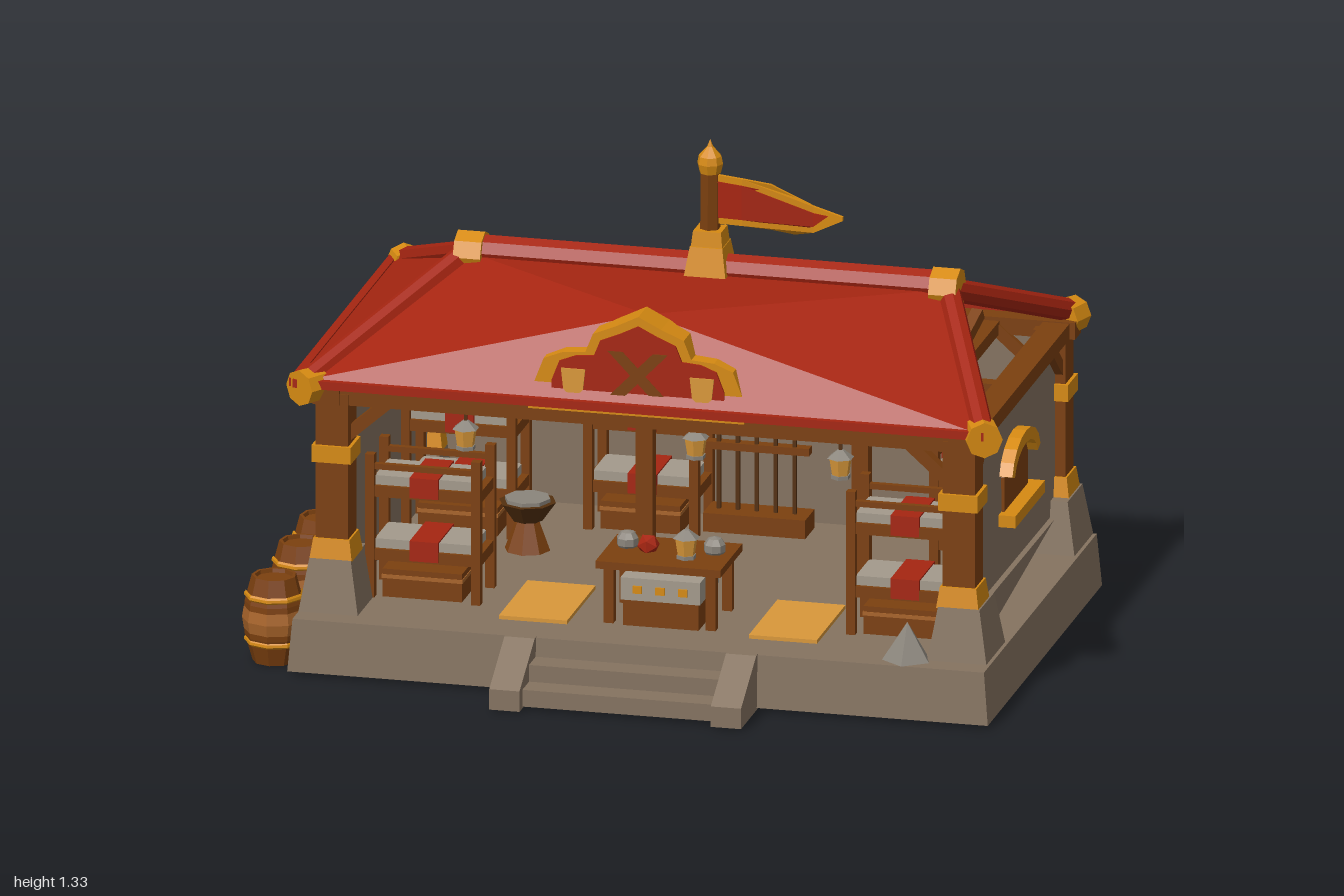
import * as THREE from 'three';

const M = {};
for (const [name, hex] of Object.entries({
  red: 0xa62511, gold: 0xd68a12, wood: 0x7c400f, darkWood: 0x54300f, stone: 0x857360,
  steel: 0x8b857c, linen: 0xa39a8c, tan: 0xd9983a, barrelWood: 0xa8642a,
})) { M[name] = new THREE.MeshStandardMaterial({ color: hex }); M[name].name = name; }
M.red.side = THREE.FrontSide;
const V = (x, y, z) => new THREE.Vector3(x, y, z);

export function createModel() {
  const root = new THREE.Group();
  root.name = 'guardhouse';

  // Flat-shaded mesh helper
  function add(name, geo, mat, x = 0, y = 0, z = 0, parent = root) {
    const g = geo.index ? geo.toNonIndexed() : geo;
    g.computeVertexNormals();
    const m = new THREE.Mesh(g, mat);
    m.name = name;
    m.position.set(x, y, z);
    parent.add(m);
    return m;
  }
  // Box from minimum to maximum corner
  const span = (name, mat, x0, x1, y0, y1, z0, z1, parent) =>
    add(name, new THREE.BoxGeometry(x1 - x0, y1 - y0, z1 - z0), mat, (x0 + x1) / 2, (y0 + y1) / 2, (z0 + z1) / 2, parent);
  // Box whose top is inset by tx and tz
  function taper(name, mat, x0, x1, y0, y1, z0, z1, tx, tz) {
    const m = span(name, mat, x0, x1, y0, y1, z0, z1), p = m.geometry.attributes.position;
    for (let i = 0; i < p.count; i++) if (p.getY(i) > 0) {
      p.setX(i, p.getX(i) - Math.sign(p.getX(i)) * tx);
      p.setZ(i, p.getZ(i) - Math.sign(p.getZ(i)) * tz);
    }
    m.geometry.computeVertexNormals();
    return m;
  }
  // Square or round beam between two points
  function beam(name, mat, a, b, w, sides = 0) {
    const len = a.distanceTo(b);
    const g = sides ? new THREE.CylinderGeometry(w / 2, w / 2, len, sides).rotateX(Math.PI / 2) : new THREE.BoxGeometry(w, w, len);
    const m = add(name, g, mat);
    m.position.copy(a).add(b).multiplyScalar(0.5);
    m.lookAt(b);
    return m;
  }
  function shapeOf(pts) { return new THREE.Shape(pts.map(p => new THREE.Vector2(p[0], p[1]))); }
  const slab = (pts, depth) => new THREE.ExtrudeGeometry(shapeOf(pts), { depth, bevelEnabled: false });

  // Stone base, steps and step cheeks
  taper('base', M.stone, -0.855, 0.995, 0.01, 0.15, -0.685, 0.515, 0.012, 0.008);
  span('lowerStep', M.stone, -0.21, 0.31, 0.01, 0.055, 0.5, 0.65);
  span('upperStep', M.stone, -0.21, 0.31, 0.01, 0.1, 0.5, 0.58);
  for (const x of [-0.28, 0.305]) {
    const c = add('stepCheek', slab([[-0.5, 0.005], [-0.5, 0.152], [-0.52, 0.152], [-0.68, 0.06], [-0.68, 0.005]], 0.08), M.stone, x, 0, 0);
    c.rotation.y = Math.PI / 2;
    c.position.x = x;
  }

  // Walls and sloping footings
  span('backWall', M.stone, -0.78, 0.88, 0.15, 0.71, -0.63, -0.59);
  const foot = add('backFooting', slab([[0.59, 0.15], [0.67, 0.15], [0.655, 0.21], [0.63, 0.25], [0.59, 0.25]], 1.68), M.stone, -0.79, 0, 0);
  foot.rotation.y = Math.PI / 2;
  span('rightWall', M.stone, -0.79, -0.75, 0.15, 0.71, -0.6, 0.37);
  span('rightFooting', M.stone, -0.815, -0.77, 0.15, 0.24, -0.55, 0.35);
  span('leftWall', M.stone, 0.865, 0.905, 0.245, 0.71, -0.6, 0.37);
  const tri = add('leftFooting', slab([[-0.27, 0.15], [0.48, 0.245], [-0.27, 0.25]], 0.04), M.stone, 0.88, 0, 0);
  tri.rotation.y = Math.PI / 2;

  // Arched side windows
  for (const s of [1, -1]) {
    const win = new THREE.Group();
    win.name = 'window';
    root.add(win);
    win.position.set(s > 0 ? 0.905 : -0.79, 0, -0.11);
    win.rotation.y = s * Math.PI / 2;
    const arc = (r, h, y) => Array.from({ length: 9 }, (_, i) => {
      const t = Math.PI * (0.06 + 0.88 * i / 8);
      return [r * Math.cos(t), y + h * Math.sin(t)];
    });
    add('windowPanel', slab([[0.125, 0.41], ...arc(0.128, 0.08, 0.5), [-0.125, 0.41]], 0.008), M.wood, 0, 0, 0, win);
    add('windowArch', slab([...arc(0.15, 0.1, 0.505), ...arc(0.122, 0.072, 0.5).reverse()], 0.035), M.gold, 0, 0, 0, win);
    span('windowSill', M.gold, -0.155, 0.155, 0.39, 0.422, 0, 0.045, win);
  }

  // Corner plinths, posts, bands and braces
  for (const sx of [-1, 1]) for (const sz of [-1, 1]) {
    const x = sx < 0 ? -0.765 : 0.89, z = sz < 0 ? -0.59 : 0.36;
    const px = sx < 0 ? -0.765 : 0.895, pz = sz < 0 ? -0.58 : 0.345;
    taper('cornerPlinth', M.stone, px - 0.08, px + 0.08, 0.14, 0.288, pz - 0.1, pz + 0.1, 0.025, 0.022);
    taper('postFoot', M.gold, x - 0.056, x + 0.056, 0.285, 0.34, z - 0.058, z + 0.058, 0.008, 0.008);
    span('cornerPost', M.wood, x - 0.043, x + 0.043, 0.33, 0.73, z - 0.043, z + 0.043);
    span('postBand', M.gold, x - 0.052, x + 0.052, 0.545, 0.59, z - 0.052, z + 0.052);
    beam('brace', M.wood, V(x - sx * 0.02, 0.6, z), V(x - sx * 0.15, 0.715, z), 0.032);
    beam('brace', M.wood, V(x + sx * 0.02, 0.6, z), V(x + sx * 0.02, 0.715, z - sz * 0.14), 0.032);
  }
  // Beams under the eaves
  for (const z of [0.37, -0.61]) span('eaveBeam', M.wood, -0.82, 0.95, 0.7, 0.745, z - 0.03, z + 0.03);
  for (const x of [-0.78, 0.9]) span('sideBeam', M.wood, x - 0.035, x + 0.035, 0.7, 0.742, -0.63, 0.41);
  // Inner posts with braces and ties
  for (const x of [-0.06, 0.51]) {
    span('innerPost', M.wood, x - 0.022, x + 0.022, 0.15, 0.95, -0.11, -0.07);
    span('tieBeam', M.wood, x - 0.02, x + 0.02, 0.7, 0.735, -0.6, 0.37);
    for (const s of [-1, 1]) beam('innerBrace', M.wood, V(x, 0.62, -0.09), V(x + s * 0.1, 0.72, -0.09), 0.024);
  }
  span('longTie', M.wood, -0.78, 0.88, 0.705, 0.735, -0.11, -0.07);
  // Open gable truss
  span('kingPost', M.wood, 0.71, 0.75, 0.72, 0.95, -0.11, -0.07);
  span('gableTie', M.wood, 0.71, 0.75, 0.7, 0.735, -0.6, 0.37);
  for (const s of [-1, 1]) beam('gableStrut', M.wood, V(0.73, 0.75, -0.09 + s * 0.06), V(0.76, 0.84, -0.09 + s * 0.23), 0.03);

  // Roof: hip with a raised front point, its left end open
  const R1 = V(-0.53, 0.975, -0.09), R2 = V(0.74, 0.975, -0.09), P = V(0.04, 0.975, 0.3);
  const FL = V(-0.865, 0.755, 0.41), FR = V(0.96, 0.755, 0.41), BL = V(-0.865, 0.755, -0.645), BR = V(0.94, 0.755, -0.645);
  const faces = [[FL, P, R1], [R1, P, R2], [P, FR, R2], [FL, FR, P], [BR, BL, R1], [BR, R1, R2], [BL, FL, R1]];
  const sheet = flip => new THREE.BufferGeometry().setFromPoints(faces.flatMap(f => flip ? [f[0], f[2], f[1]] : f));
  add('roof', sheet(false), M.red);
  add('roofUnderside', sheet(true), M.darkWood);
  for (const [a, b] of [[FL, FR], [BL, BR], [FL, BL]]) beam('eaveEdge', M.red, a, b, 0.022);
  beam('ridgeBeam', M.red, V(-0.53, 0.985, -0.09), V(0.74, 0.985, -0.09), 0.08, 8);
  const knobs = [[-0.83, 0.4, R1], [0.95, 0.39, R2], [-0.83, -0.64, R1], [0.92, -0.64, R2]];
  for (const [x, z, r] of knobs) {
    const c = V(x, 0.745, z), dir = V(x - r.x, 0, z - r.z).normalize();
    beam('hipBeam', M.red, c.clone().setY(0.76), r, 0.06, 8);
    beam('hipKnob', M.gold, c.clone().addScaledVector(dir, -0.035), c.clone().addScaledVector(dir, 0.03), 0.095, 8);
  }
  for (const x of [-0.52, 0.735]) beam('ridgeCap', M.gold, V(x - 0.036, 0.975, -0.09), V(x + 0.036, 0.975, -0.09), 0.115, 8);

  // Front sign board
  const half = [[0.275, 0.735], [0.275, 0.8], [0.25, 0.865], [0.2, 0.885], [0.14, 0.89], [0.12, 0.94], [0.06, 0.965]];
  const outline = k => {
    const r = half.map(([x, y]) => [x * k, 0.85 + (y - 0.85) * k]);
    return [...r, [0, 0.85 + 0.145 * k], ...r.slice().reverse().map(([x, y]) => [-x, y])];
  };
  add('signBoard', slab(outline(1), 0.09), M.gold, 0.04, 0, 0.297);
  add('signPanel', slab(outline(0.83), 0.006), M.red, 0.04, 0, 0.387);
  for (const s of [-1, 1]) {
    add('signPatch', slab([[-0.032, 0.845], [-0.026, 0.79], [0, 0.765], [0.026, 0.79], [0.032, 0.845]], 0.004), M.tan, 0.04 + s * 0.17, 0, 0.393);
    add('signStripe', slab([[-0.09, 0.765], [-0.05, 0.765], [0.08, 0.9], [0.04, 0.9]].map(([x, y]) => [x * s, y]), 0.004), M.wood, 0.04, 0, 0.391 + s * 0.001);
  }
  span('signLedge', M.gold, -0.245, 0.325, 0.735, 0.757, 0.33, 0.41);

  // Flag pole, finial and pennant
  taper('poleBlock', M.gold, 0.055, 0.165, 0.975, 1.05, -0.15, -0.03, 0.012, 0.015);
  taper('poleCollar', M.gold, 0.068, 0.152, 1.045, 1.09, -0.13, -0.05, 0.005, 0.005);
  add('flagPole', new THREE.CylinderGeometry(0.025, 0.027, 0.2, 6), M.wood, 0.11, 1.17, -0.09);
  add('finial', new THREE.LatheGeometry([[0, 1.33], [0.008, 1.31], [0.03, 1.285], [0.034, 1.265], [0.028, 1.24], [0, 1.235]].reverse().map(p => new THREE.Vector2(...p)), 8), M.gold, 0.11, 0, -0.09);
  const rows = [[0.13, 1.105, 1.235], [0.2, 1.11, 1.235], [0.27, 1.1, 1.22], [0.33, 1.085, 1.185], [0.38, 1.095, 1.165], [0.465, 1.143, 1.153]];
  const wave = x => -0.09 + 0.02 * Math.sin((x - 0.13) * 22);
  function pennant(name, mat, inset, depth) {
    const pts = rows.map(([x, a, b], i) => [x - (i === rows.length - 1 ? inset * 2.5 : 0), Math.min(a + inset, (a + b) / 2), Math.max(b - inset, (a + b) / 2)]);
    const g = slab([...pts.map(p => [p[0], p[1]]), ...pts.slice().reverse().map(p => [p[0], p[2] + 0.0005])], depth);
    const q = g.attributes.position;
    for (let i = 0; i < q.count; i++) q.setZ(i, q.getZ(i) - depth / 2 + wave(q.getX(i)));
    add(name, g, mat);
  }
  pennant('flagBorder', M.gold, 0, 0.01);
  pennant('flagCloth', M.red, 0.017, 0.017);

  // Barrels
  for (const z of [-0.105, 0.11, 0.4]) {
    const b = new THREE.Group();
    b.name = 'barrel';
    b.position.set(-0.918, 0, z);
    root.add(b);
    const ring = (name, mat, pts) => add(name, new THREE.LatheGeometry(pts.map(p => new THREE.Vector2(...p)), 9), mat, 0, 0, 0, b);
    ring('staves', M.wood, [[0, 0], [0.056, 0], [0.076, 0.07], [0.08, 0.115], [0.076, 0.16], [0.058, 0.23], [0.05, 0.23], [0.048, 0.22], [0, 0.22]]);
    ring('barrelMiddle', M.barrelWood, [[0.078, 0.085], [0.083, 0.115], [0.078, 0.145]]);
    for (const y of [0.05, 0.17]) ring('hoop', M.gold, [[0.073, y], [0.078, y + 0.005], [0.077, y + 0.012], [0.073, y + 0.017]]);
  }

  // Bunk beds
  for (const [x, z, turn] of [[-0.555, 0.2, 0], [-0.6, -0.35, 0], [-0.15, -0.48, 0], [0.715, 0.2, 0], [0.76, -0.3, Math.PI / 2]]) {
    const b = new THREE.Group();
    b.name = 'bunkBed';
    b.position.set(x, 0.15, z);
    b.rotation.y = turn;
    root.add(b);
    for (const sx of [-0.14, 0.14]) for (const sz of [-0.075, 0.075]) span('bedPost', M.wood, sx - 0.012, sx + 0.012, 0, 0.385, sz - 0.012, sz + 0.012, b);
    for (const y of [0.1, 0.27]) {
      span('bedFrame', M.wood, -0.15, 0.15, y, y + 0.03, -0.08, 0.08, b);
      span('mattress', M.linen, -0.13, 0.13, y + 0.03, y + 0.055, -0.07, 0.07, b);
      span('blanket', M.red, -0.035, 0.04, y + 0.005, y + 0.059, -0.084, 0.084, b);
    }
    for (const sz of [-0.075, 0.075]) span('bedRail', M.wood, -0.14, 0.14, 0.345, 0.36, sz - 0.008, sz + 0.008, b);
    span('bedChest', M.wood, -0.11, 0.1, 0, 0.075, -0.06, 0.07, b);
    span('chestBand', M.barrelWood, -0.112, 0.102, 0.05, 0.06, -0.062, 0.072, b);
  }

  // Table with cloth, lamp and goods
  span('tableTop', M.wood, -0.08, 0.25, 0.3, 0.32, 0.13, 0.36);
  for (const x of [-0.05, 0.22]) for (const z of [0.16, 0.33]) span('tableLeg', M.wood, x - 0.013, x + 0.013, 0.15, 0.3, z - 0.013, z + 0.013);
  span('tableChest', M.wood, -0.01, 0.19, 0.15, 0.23, 0.16, 0.35);
  span('tableCloth', M.linen, -0.015, 0.195, 0.22, 0.28, 0.155, 0.355);
  for (const x of [0.03, 0.09, 0.15]) span('clothPatch', M.gold, x - 0.012, x + 0.012, 0.24, 0.26, 0.355, 0.36);
  add('redBundle', new THREE.IcosahedronGeometry(0.03, 0), M.red, 0.03, 0.335, 0.24);
  for (const x of [-0.03, 0.2]) add('helmet', new THREE.SphereGeometry(0.03, 8, 5), M.steel, x, 0.335, 0.22);

  // Lanterns
  for (const [x, y, z] of [[-0.43, 0.585, 0.33], [0.145, 0.565, 0.2], [0.56, 0.585, 0.33], [0.14, 0.32, 0.28]]) {
    add('lanternGlass', new THREE.CylinderGeometry(0.03, 0.022, 0.05, 6), M.tan, x, y + 0.03, z);
    add('lanternCap', new THREE.CylinderGeometry(0.008, 0.036, 0.022, 6), M.steel, x, y + 0.066, z);
    add('lanternFoot', new THREE.CylinderGeometry(0.026, 0.026, 0.01, 6), M.steel, x, y + 0.005, z);
    if (y > 0.5) span('lanternCord', M.darkWood, x - 0.004, x + 0.004, y + 0.07, 0.72, z - 0.004, z + 0.004);
  }

  // Spear rack
  span('rackRail', M.wood, 0, 0.27, 0.36, 0.38, -0.52, -0.49);
  span('rackFoot', M.wood, 0, 0.27, 0.15, 0.2, -0.55, -0.45);
  for (let i = 0; i < 5; i++) {
    const x = 0.03 + i * 0.05;
    span('spearShaft', M.darkWood, x - 0.005, x + 0.005, 0.17, 0.5, -0.505, -0.495);
    add('spearHead', new THREE.ConeGeometry(0.012, 0.06, 4), M.steel, x, 0.53, -0.5);
  }
  // Wall hangings
  span('poster', M.wood, 0.295, 0.43, 0.415, 0.61, -0.59, -0.583);
  span('posterCloth', M.red, 0.305, 0.42, 0.425, 0.6, -0.583, -0.578);
  add('roundShield', new THREE.CylinderGeometry(0.06, 0.06, 0.02, 16).rotateX(Math.PI / 2), M.stone, 0.5, 0.4, -0.58);

  // Floor mats, round stool and sack
  for (const [x, z] of [[-0.24, 0.23], [0.42, 0.23]]) span('floorMat', M.tan, x - 0.09, x + 0.09, 0.15, 0.16, z - 0.15, z + 0.15);
  add('stoolFoot', new THREE.CylinderGeometry(0.03, 0.06, 0.08, 8), M.wood, -0.4, 0.19, -0.2);
  add('stoolBowl', new THREE.CylinderGeometry(0.075, 0.04, 0.05, 8), M.darkWood, -0.4, 0.255, -0.2);
  add('stoolTop', new THREE.CylinderGeometry(0.06, 0.06, 0.02, 8), M.steel, -0.4, 0.28, -0.2);
  add('sack', new THREE.ConeGeometry(0.065, 0.1, 5), M.steel, 0.765, 0.2, 0.445);
  return root;
}
